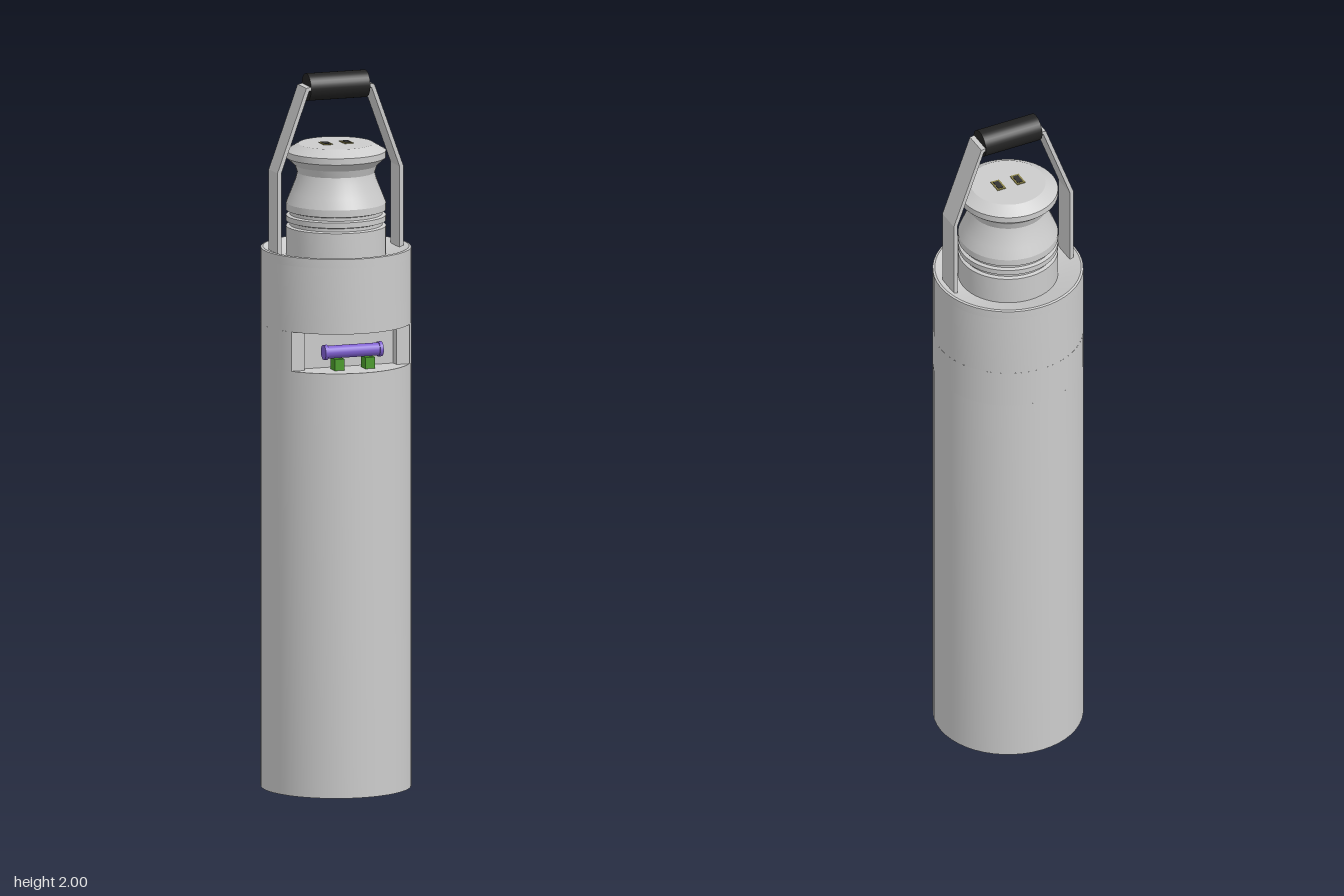
import * as THREE from 'three';
import { toCreasedNormals } from 'three/addons/utils/BufferGeometryUtils.js';

const SEG = 48;
const R = 0.208;

export function createModel() {
  const model = new THREE.Group();
  const mat = (color) => new THREE.MeshStandardMaterial({ color, side: THREE.DoubleSide });
  const grey = mat(0xcccccc);
  const black = mat(0x222222);
  const purple = mat(0x7f5fd0);
  const green = mat(0x4a9a2a);
  const gold = mat(0x8a8248);
  const dark = mat(0x333333);

  const add = (name, geo, material, x = 0, y = 0, z = 0) => {
    const mesh = new THREE.Mesh(geo, material);
    mesh.name = name;
    mesh.position.set(x, y, z);
    model.add(mesh);
    return mesh;
  };
  const box = (name, material, x0, x1, y0, y1, z0, z1) =>
    add(name, new THREE.BoxGeometry(x1 - x0, y1 - y0, z1 - z0), material,
      (x0 + x1) / 2, (y0 + y1) / 2, (z0 + z1) / 2);
  const lathe = (name, pts) => add(name, toCreasedNormals(
    new THREE.LatheGeometry(pts.map(([r, y]) => new THREE.Vector2(r, y)), SEG), 0.35), grey);

  // Body: lower tube, cut-away window band, upper tube with a slightly dished shoulder
  const y0 = 1.19, y1 = 1.3, zBack = 0.115;
  lathe('lowerBody', [[0, 0], [R, 0], [R, y0], [0, y0]]);
  lathe('upperBody', [[0, y1], [R, y1], [R, 1.485]]);
  lathe('shoulderRing', [[R, 1.485], [R, 1.51], [R - 0.006, 1.512], [0.137, 1.49]]);
  const half = Math.acos(zBack / R);
  add('windowBand', new THREE.CylinderGeometry(R, R, y1 - y0, SEG, 1, true, half, 2 * Math.PI - 2 * half),
    grey, 0, (y0 + y1) / 2);

  // Window recess: back wall and side cheeks
  const w = R * Math.sin(half);
  box('recessBack', grey, -0.135, 0.135, y0, y1, 0.08, 0.09);
  for (const s of [-1, 1]) {
    box('recessCheek', grey, s > 0 ? 0.135 : -w, s > 0 ? w : -0.135, y0, y1, 0.08, zBack);
  }

  // Coloured capsule on two small clips
  const tube = add('windowTube', new THREE.CylinderGeometry(0.018, 0.018, 0.15, 20), purple, 0, 1.24, 0.13);
  tube.rotation.z = Math.PI / 2;
  for (const s of [-1, 1]) {
    const end = add('tubeEnd', new THREE.CylinderGeometry(0.021, 0.021, 0.01, 20), purple, s * 0.08, 1.24, 0.13);
    end.rotation.z = Math.PI / 2;
    box('tubeClip', green, s * 0.045 - 0.014, s * 0.045 + 0.014, y0, 1.222, 0.115, 0.15);
  }

  // Stopper: grooved neck, waisted cap and chamfered top
  lathe('stopper', [
    [0.138, 1.48], [0.138, 1.57], [0.128, 1.573], [0.128, 1.582], [0.138, 1.585],
    [0.138, 1.6], [0.128, 1.603], [0.128, 1.612], [0.138, 1.615], [0.138, 1.635],
    [0.126, 1.665], [0.112, 1.7], [0.107, 1.72], [0.114, 1.74], [0.138, 1.762],
    [0.138, 1.78], [0.104, 1.8], [0, 1.8],
  ]);

  // Two framed slots on the stopper top
  for (const s of [-1, 1]) {
    box('slotFrame', gold, s * 0.03 - 0.013, s * 0.03 + 0.013, 1.798, 1.802, -0.022, 0.022);
    box('slot', dark, s * 0.03 - 0.008, s * 0.03 + 0.008, 1.8, 1.803, -0.016, 0.016);
  }

  // Bent strap legs, mirrored
  const outline = [[0.185, 1.495], [0.185, 1.732], [0.1, 1.965], [0.07, 1.97],
    [0.07, 1.96], [0.092, 1.956], [0.174, 1.73], [0.174, 1.495]];
  for (const s of [-1, 1]) {
    const shape = new THREE.Shape(outline.map(([x, y]) => new THREE.Vector2(s * x, y)));
    add('handleLeg', new THREE.ExtrudeGeometry(shape, { depth: 0.07, bevelEnabled: false }), grey, 0, 0, -0.035);
  }

  // Round grip
  const grip = add('handleGrip', new THREE.CylinderGeometry(0.038, 0.038, 0.174, 32), black, 0, 1.962, 0);
  grip.rotation.z = Math.PI / 2;

  return model;
}
